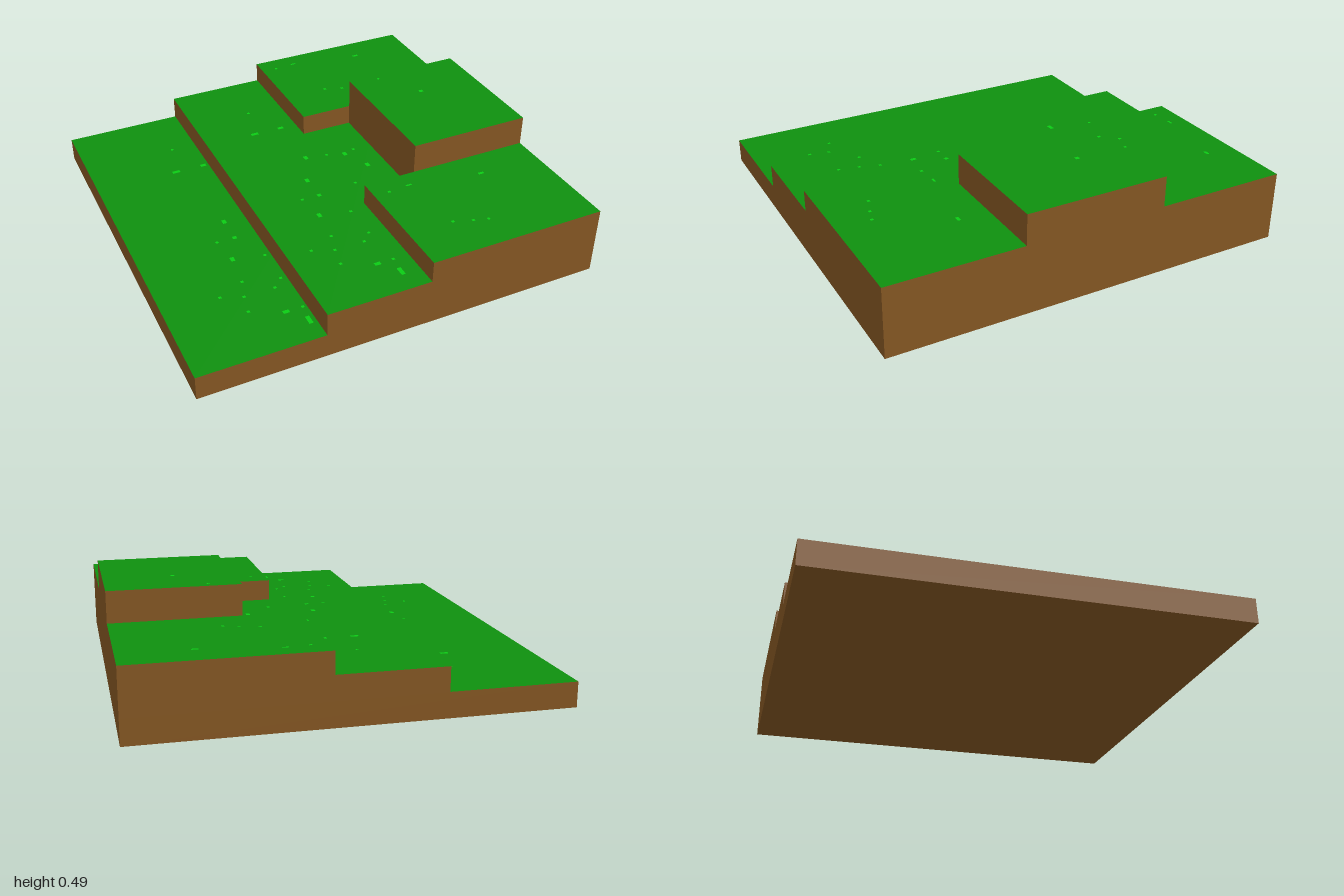
import * as THREE from 'three';

export function createModel() {
  const group = new THREE.Group();
  const soil = new THREE.MeshStandardMaterial({ color: 0x855723 });
  soil.name = 'soil brown';
  const grass = new THREE.MeshStandardMaterial({ color: 0x0f900f });
  grass.name = 'grass green';
  const brightGrass = new THREE.MeshStandardMaterial({ color: 0x0acc14 });
  brightGrass.name = 'bright grass';

  // Soil block with a grass top, given by its extents
  function terrace(name, x0, x1, y0, y1, z0, z1) {
    const geometry = new THREE.BoxGeometry(x1 - x0, y1 - y0, z1 - z0);
    const mesh = new THREE.Mesh(geometry, [soil, soil, grass, soil, soil, soil]);
    mesh.position.set((x0 + x1) / 2, (y0 + y1) / 2, (z0 + z1) / 2);
    mesh.name = name;
    group.add(mesh);
  }

  terrace('lowTerrace', -1, 1, 0, 0.12, -1, 1);
  terrace('middleTerrace', -0.4, 1, 0.12, 0.235, -1, 1);
  terrace('backCornerTerrace', 0.11, 1, 0.235, 0.34, -1, -0.35);
  terrace('frontCornerTerrace', 0.11, 1, 0.235, 0.34, 0.35, 1);
  terrace('topTerrace', 0.38, 1, 0.235, 0.49, -0.35, 0.35);

  // Tiny bright blades lying on the grass, each as [x, z, width, depth]
  const blade = new THREE.PlaneGeometry(1, 1).rotateX(-Math.PI / 2);
  function blades(name, y, spots, dx = 0, dz = 0) {
    const patch = new THREE.Group();
    patch.name = name;
    for (const [x, z, w = 0.014, d = 0.014] of spots) {
      const mesh = new THREE.Mesh(blade, brightGrass);
      mesh.name = 'grassBlade';
      mesh.position.set(x + dx, y + 0.002, z + dz);
      mesh.scale.set(w, 1, d);
      patch.add(mesh);
    }
    group.add(patch);
  }

  const stepSpots = [
    [-0.58, -0.455, 0.04, 0.02], [-0.43, -0.455, 0.03, 0.02], [-0.53, -0.67],
    [-0.51, 0.06, 0.02, 0.03], [-0.6, 0.2], [-0.51, 0.2, 0.02, 0.02],
    [-0.58, 0.35, 0.02, 0.03], [-0.43, 0.385], [-0.6, 0.52], [-0.43, 0.57],
    [-0.63, 0.62], [-0.48, 0.62], [-0.5, 0.79, 0.03, 0.02],
    [-0.42, 0.79], [-0.43, 0.88, 0.02, 0.05], [-0.73, 0.58], [-0.65, 0.72],
  ];
  const cornerSpots = [
    [0.3, -0.91, 0.03, 0.01], [0.19, -0.9], [0.67, -0.85, 0.03, 0.015],
    [0.34, -0.57, 0.015, 0.015], [0.5, -0.52], [0.43, -0.54],
  ];
  blades('lowTerraceBlades', 0.12, stepSpots);
  blades('middleTerraceBlades', 0.235, stepSpots, 0.45);
  blades('innerBlades', 0.235, [
    [0.02, -0.13, 0.02, 0.03], [0.13, -0.11], [0.22, -0.08, 0.02, 0.03],
    [0.28, -0.1], [0.28, 0.06, 0.02, 0.03], [0.15, 0.18],
  ]);
  blades('backCornerBlades', 0.34, cornerSpots);
  blades('frontCornerBlades', 0.34, cornerSpots, 0, 1.35);
  blades('topTerraceBlades', 0.49, [[0.67, -0.1, 0.02, 0.02], [0.53, -0.31]]);

  return group;
}
